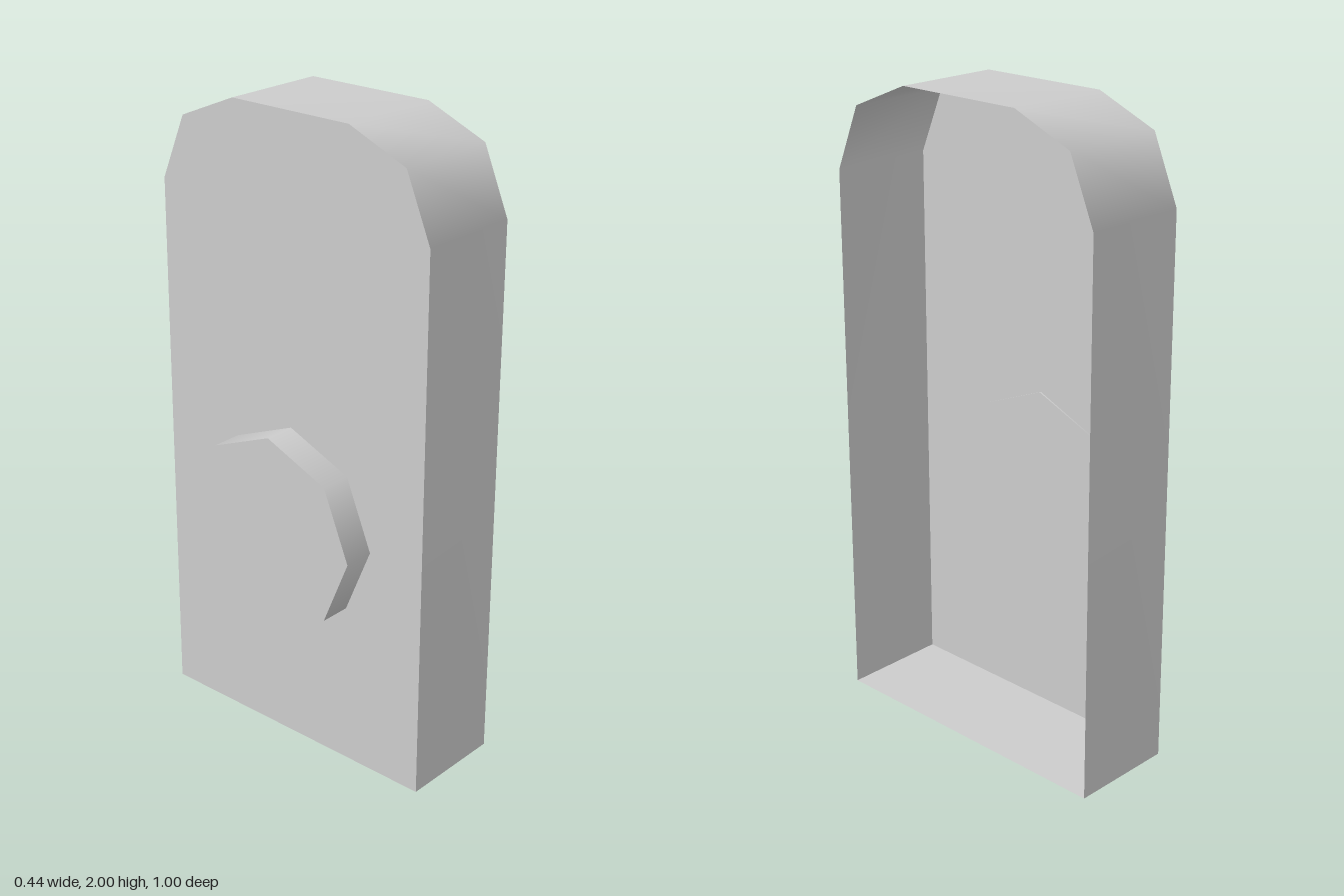
import * as THREE from 'three';

const BACK = -0.12, OPEN = 0.22; // x of the panel and of the open side

export function createModel() {
  const model = new THREE.Group();
  const material = new THREE.MeshStandardMaterial({ color: 0xcccccc, side: THREE.DoubleSide });
  const add = (name, geometry) => {
    const mesh = new THREE.Mesh(geometry, material);
    mesh.name = name;
    model.add(mesh);
    return mesh;
  };

  // Outline as (z, y): up the front side, over the chamfered top, down the back
  const half = [[0.5, 0], [0.5, 1.715], [0.415, 1.917], [0.215, 2]];
  const outline = [...half, ...half.map(([z, y]) => [-z, y]).reverse()];

  // Thin rim: a strip bent along the outline, smooth over the top
  const rim = new THREE.PlaneGeometry(1, 1, outline.length - 1, 1);
  const pos = rim.attributes.position;
  for (let i = 0; i < pos.count; i++) {
    const [z, y] = outline[i % outline.length];
    pos.setXYZ(i, i < outline.length ? BACK : OPEN, y, z);
  }
  rim.computeVertexNormals();
  add('rim', rim);

  // Flat panel closing one side
  const shape = new THREE.Shape(outline.map(([z, y]) => new THREE.Vector2(z, y)));
  add('panel', new THREE.ShapeGeometry(shape).rotateY(-Math.PI / 2)).position.x = BACK;

  // Floor, facing down
  const floor = new THREE.PlaneGeometry(OPEN - BACK, 1).rotateX(Math.PI / 2);
  add('floor', floor).position.x = (OPEN + BACK) / 2;

  // Eight-sided knob, its inner end just piercing the panel
  const knobOuter = -0.22, knobInner = BACK + 0.005;
  const knob = new THREE.CylinderGeometry(0.308, 0.308, knobInner - knobOuter, 8).rotateZ(Math.PI / 2);
  add('knob', knob).position.set((knobOuter + knobInner) / 2, 0.745, 0);

  return model;
}
